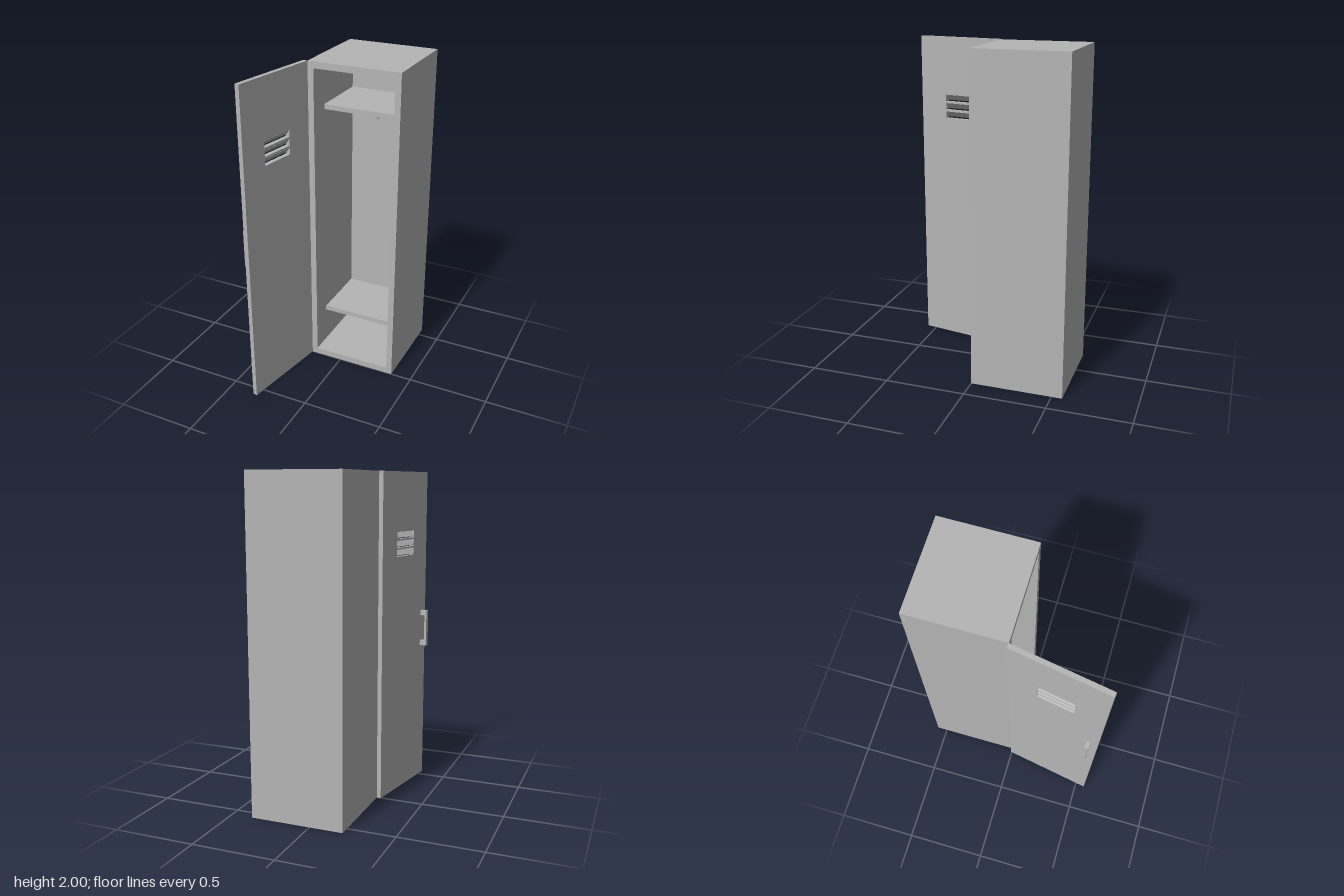
import * as THREE from 'three';

const W = 0.575, H = 2, D = 0.565;       // cabinet size
const LEFT = -0.207, MID = LEFT + W / 2; // hinge side and cabinet centre line
const WALL = 0.037, DOOR_T = 0.028, DOOR_W = 0.573;

export function createModel() {
  const paint = new THREE.MeshStandardMaterial({ color: 0xb5b5b5 });
  paint.name = 'grey paint';
  const locker = new THREE.Group();
  locker.name = 'locker';

  const add = (parent, name, geometry, x = 0, y = 0, z = 0) => {
    const mesh = new THREE.Mesh(geometry, paint);
    mesh.name = name;
    mesh.position.set(x, y, z);
    parent.add(mesh);
    return mesh;
  };
  // Box given by its minimum and maximum corners
  const block = (parent, name, [x0, y0, z0], [x1, y1, z1]) =>
    add(parent, name, new THREE.BoxGeometry(x1 - x0, y1 - y0, z1 - z0),
      (x0 + x1) / 2, (y0 + y1) / 2, (z0 + z1) / 2);
  const rect = (PathType, x0, y0, x1, y1) => new PathType([
    new THREE.Vector2(x0, y0), new THREE.Vector2(x1, y0),
    new THREE.Vector2(x1, y1), new THREE.Vector2(x0, y1)]);
  const panel = (shape, depth) =>
    new THREE.ExtrudeGeometry(shape, { depth, bevelEnabled: false });

  // Cabinet: four walls in one sleeve, closed by a back panel
  const sleeve = rect(THREE.Shape, 0, 0, W, H);
  sleeve.holes.push(rect(THREE.Path, WALL, 0.04, W - WALL, H - 0.04));
  add(locker, 'cabinetWalls', panel(sleeve, D - 0.035), LEFT, 0, 0.035 - D);
  block(locker, 'backPanel', [LEFT, 0, -D], [LEFT + W, H, 0.035 - D]);

  // Shelves, set back from the opening
  for (const [name, y] of [['lowerShelf', 0.27], ['upperShelf', 1.68]]) {
    block(locker, name, [LEFT + WALL, y, 0.035 - D], [LEFT + W - WALL, y + 0.03, -0.133]);
  }

  // Peg hanging under the upper shelf
  add(locker, 'hangingPeg', new THREE.CylinderGeometry(0.022, 0.022, 0.08, 24), MID, 1.64, -0.33);

  // Door, modelled closed and swung open about its hinge
  const door = new THREE.Group();
  door.name = 'door';
  door.position.set(LEFT, 0, 0);
  door.rotation.y = THREE.MathUtils.degToRad(-100);
  locker.add(door);

  const leaf = rect(THREE.Shape, 0, 0, DOOR_W, H);
  const slotW = 0.218, slotH = 0.043, drop = 0.035;
  for (let i = 0; i < 3; i++) {
    const y = 1.49 + i * 0.0535, x0 = (DOOR_W - slotW) / 2;
    leaf.holes.push(rect(THREE.Path, x0, y, x0 + slotW, y + slotH));
    // Slat sloping down towards the outside
    const slat = add(door, 'ventSlat',
      new THREE.BoxGeometry(slotW, 0.002, Math.hypot(drop, DOOR_T)),
      DOOR_W / 2, y + slotH - drop / 2, DOOR_T / 2);
    slat.rotation.x = Math.atan2(drop, DOOR_T);
  }
  add(door, 'doorLeaf', panel(leaf, DOOR_T));

  // Bracket handle on the outside
  const h0 = 0.505, h1 = 0.531, out = 0.072, grip = 0.014;
  block(door, 'handleGrip', [h0, 0.89, out - grip], [h1, 1.12, out]);
  for (const y of [0.89, 1.088]) {
    block(door, 'handlePost', [h0, y, DOOR_T], [h1, y + 0.032, out - grip]);
  }
  return locker;
}
